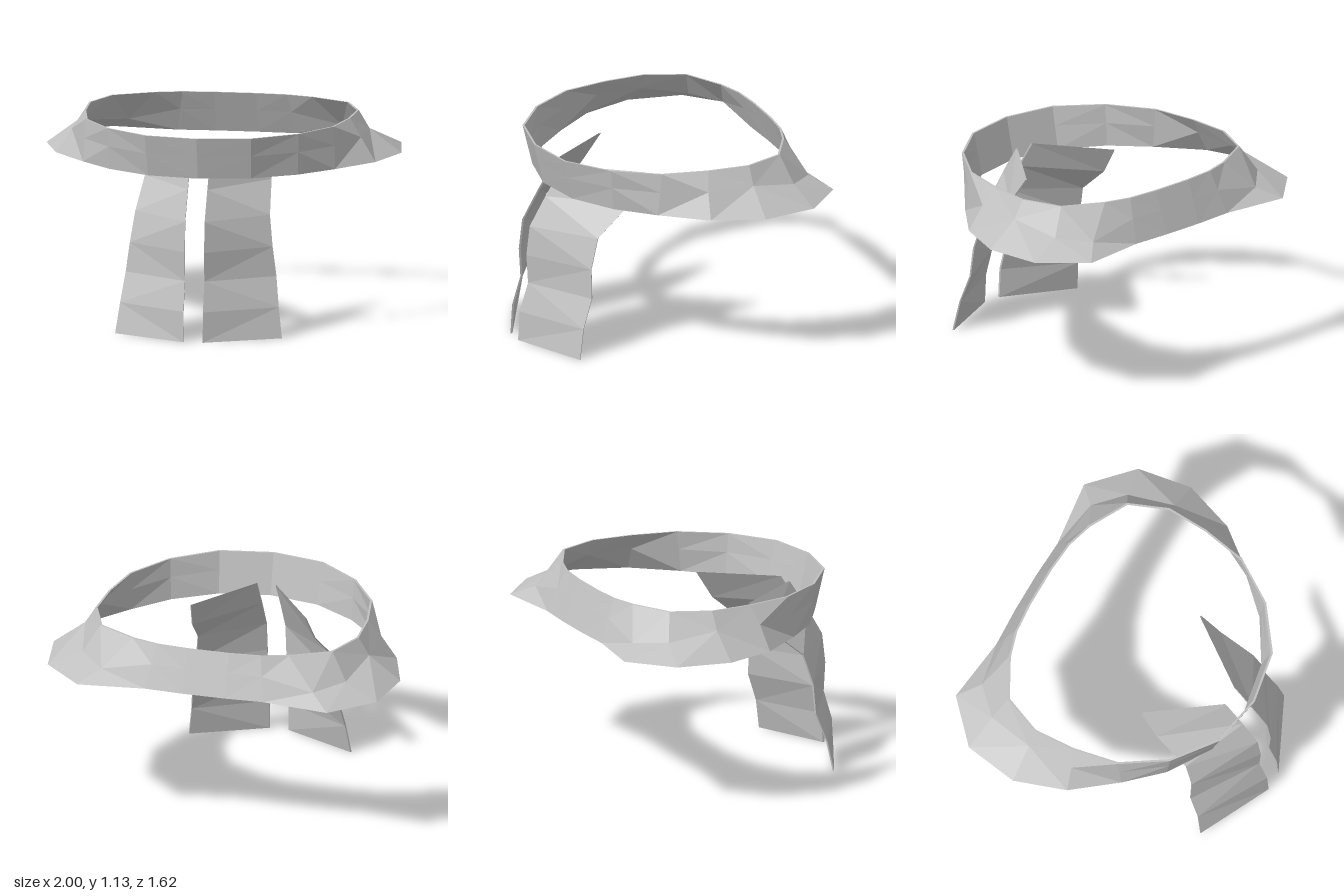
import * as THREE from 'three';

const cloth = new THREE.MeshStandardMaterial({ color: 0xc0c0c0, side: THREE.DoubleSide, flatShading: true });
cloth.name = 'grey cloth';
const THICKNESS = 0.012;

const distance = (p, q) => Math.hypot(p[0] - q[0], p[1] - q[1], p[2] - q[2]);

// Faceted surface through rows of equal length, each quad split along its shorter diagonal.
function sheet(name, rows) {
  const pos = [];
  for (let r = 0; r < rows.length - 1; r++) {
    for (let i = 0; i < rows[r].length - 1; i++) {
      const a = rows[r][i], b = rows[r][i + 1], c = rows[r + 1][i + 1], d = rows[r + 1][i];
      if (distance(a, c) < distance(b, d)) pos.push(...a, ...b, ...c, ...a, ...c, ...d);
      else pos.push(...a, ...b, ...d, ...b, ...c, ...d);
    }
  }
  const geo = new THREE.BufferGeometry();
  geo.setAttribute('position', new THREE.Float32BufferAttribute(pos, 3));
  geo.computeVertexNormals();
  const mesh = new THREE.Mesh(geo, cloth);
  mesh.name = name;
  return mesh;
}

// Half outlines of the band [x, y, z], from the back round the left to the front.
const topHalf = [[0.12, -0.69], [0.3, -0.675], [0.45, -0.63], [0.67, -0.51], [0.76, -0.29],
  [0.75, -0.05], [0.7, 0.21], [0.54, 0.455], [0.3, 0.635], [0, 0.69]].map(([x, z]) => [x, 1.13, z]);
const bottomHalf = [[0.12, -0.78], [0.34, -0.77], [0.72, -0.815], [0.95, -0.6], [1, -0.29],
  [0.9, 0], [0.71, 0.24], [0.53, 0.43], [0.29, 0.58], [0, 0.635]].map(([x, z]) => [x, 0.895, z]);
const middleHalf = topHalf.map((p, i) => p.map((v, k) => v + (bottomHalf[i][k] - v) * 0.45));
// Dent above the flared back corners and sides
middleHalf.splice(2, 4, [0.61, 0.96, -0.71], [0.76, 0.98, -0.56], [0.82, 1.03, -0.29], [0.815, 1.03, -0.02]);

// Mirror a half outline into a closed loop.
function ring(half) {
  const right = half.slice(0, -1).reverse().map(([x, y, z]) => [-x, y, z]);
  return [...half, ...right, half[0]];
}

// Move a loop towards the vertical axis by the cloth thickness.
const inset = (loop) => loop.map(([x, y, z]) => {
  const k = 1 - THICKNESS / Math.hypot(x, z);
  return [x * k, y, z * k];
});

function neckBand() {
  const outer = [topHalf, middleHalf, bottomHalf].map(ring);
  const inner = outer.map(inset).reverse();
  return sheet('neckBand', [...outer, ...inner, outer[0]]);
}

// Tail edges, bottom to top: [y, inner z, outer z].
const tailRows = [[0, 0.81, 0.61], [0.17, 0.8, 0.58], [0.335, 0.75, 0.52], [0.5, 0.76, 0.515],
  [0.67, 0.74, 0.465], [0.835, 0.645, 0.265], [1, 0.54, 0.155]];

// A tail is a thin closed section carried up through the rows.
function tail(name, side) {
  const rows = tailRows.map(([y, zIn, zOut]) => {
    const xOut = 0.47 - 0.135 * y;
    const section = [[0.055, zIn], [xOut, zOut], [xOut - THICKNESS * 0.5, zOut - THICKNESS * 0.5],
      [0.055, zIn - THICKNESS], [0.055, zIn]].map(([x, z]) => [x * side, y, z]);
    return side > 0 ? section : section.reverse();
  });
  return sheet(name, rows);
}

export function createModel() {
  const group = new THREE.Group();
  group.name = 'scarf';
  // Neck band flaring outwards at the back, and two hanging ends
  group.add(neckBand(), tail('leftTail', 1), tail('rightTail', -1));
  return group;
}
